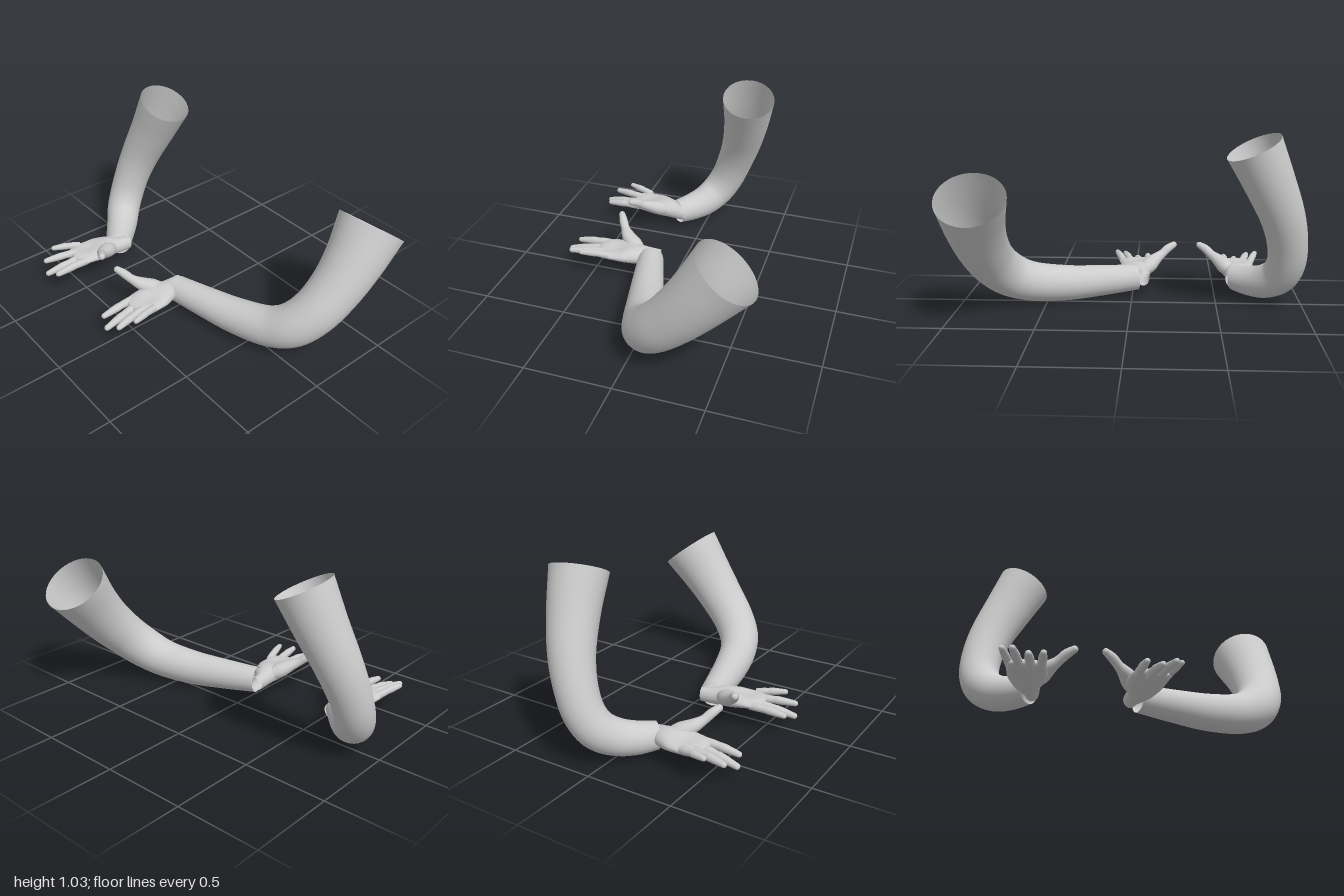
import * as THREE from 'three';

const material = new THREE.MeshStandardMaterial({ color: 0xcccccc, side: THREE.DoubleSide });

// Smooth tube through rows of [x, y, z, halfWidth, halfHeight]; round adds a domed end.
function loft(name, rows, { steps = 24, sides = 20, ref = [0, 1, 0], round = true } = {}) {
  const path = new THREE.CatmullRomCurve3(rows.map(r => new THREE.Vector3(r[0], r[1], r[2])));
  const size = new THREE.CatmullRomCurve3(rows.map((r, i) => new THREE.Vector3(r[3], r[4] ?? r[3], i * 0.05)));
  const pos = [], index = [];
  let rings = 0;
  const addRing = (c, t, w, h) => {
    const side = new THREE.Vector3(...ref).cross(t).normalize();
    const up = t.clone().cross(side);
    for (let j = 0; j < sides; j++) {
      const a = j / sides * Math.PI * 2;
      const p = c.clone().addScaledVector(side, Math.cos(a) * w).addScaledVector(up, Math.sin(a) * h);
      pos.push(p.x, p.y, p.z);
    }
    rings++;
  };
  for (let i = 0; i <= steps; i++) {
    const s = size.getPoint(i / steps);
    addRing(path.getPoint(i / steps), path.getTangent(i / steps), s.x, s.y);
  }
  if (round) {
    const c = path.getPoint(1), t = path.getTangent(1), s = size.getPoint(1);
    for (let k = 1; k <= 5; k++) {
      const a = k / 5 * Math.PI / 2, f = Math.max(Math.cos(a), 0.02);
      addRing(c.clone().addScaledVector(t, s.y * Math.sin(a)), t, s.x * f, s.y * f);
    }
  }
  for (let i = 0; i < rings - 1; i++) {
    for (let j = 0; j < sides; j++) {
      const k = (j + 1) % sides;
      const a = i * sides + j, b = i * sides + k, c = b + sides, d = a + sides;
      index.push(a, b, c, a, c, d);
    }
  }
  const g = new THREE.BufferGeometry();
  g.setAttribute('position', new THREE.Float32BufferAttribute(pos, 3));
  g.setIndex(index);
  g.computeVertexNormals();
  const mesh = new THREE.Mesh(g, material);
  mesh.name = name;
  return mesh;
}

// Open hand, palm up; mirrored across x = -0.335 for the other side.
function hand(name, mirrored) {
  const group = new THREE.Group();
  group.name = name;
  const flip = x => (mirrored ? -0.67 - x : x);
  const add = (part, rows, options) => {
    const mesh = loft(part, rows.map(([x, ...rest]) => [flip(x), ...rest]), options);
    group.add(mesh);
    return mesh;
  };

  // wrist and palm in one form
  const palm = add('palm', [
    [-0.07, 0.122, 0.10, 0.036, 0.042],
    [-0.058, 0.125, 0.17, 0.048, 0.048],
    [-0.038, 0.132, 0.23, 0.078, 0.054],
    [-0.03, 0.14, 0.30, 0.102, 0.05],
    [-0.022, 0.143, 0.37, 0.104, 0.041],
    [-0.016, 0.143, 0.43, 0.102, 0.031],
    [-0.013, 0.142, 0.46, 0.09, 0.023],
  ], { steps: 30, sides: 36 });

  // hollow of the palm
  const p = palm.geometry.attributes.position;
  for (let i = 0; i < p.count; i++) {
    const dx = (flip(p.getX(i)) + 0.01) / 0.06, dz = (p.getZ(i) - 0.36) / 0.07;
    if (p.getY(i) > 0.145) p.setY(i, p.getY(i) - 0.02 * Math.exp(-dx * dx - dz * dz));
  }
  palm.geometry.computeVertexNormals();

  // fingers: base, tip, radius
  const fingers = {
    indexFinger: [[-0.09, 0.14, 0.43], [-0.083, 0.128, 0.637], 0.024],
    middleFinger: [[-0.035, 0.134, 0.44], [-0.01, 0.105, 0.667], 0.025],
    ringFinger: [[0.02, 0.142, 0.43], [0.066, 0.142, 0.635], 0.024],
    littleFinger: [[0.065, 0.152, 0.39], [0.114, 0.174, 0.55], 0.022],
  };
  for (const [part, [a, b, r]] of Object.entries(fingers)) {
    const at = (t, lift, k) => [...a.map((v, i) => v + (b[i] - v) * t + (i === 1 ? lift : 0)), r * k];
    add(part, [at(0, 0, 1), at(0.25, 0.003, 1), at(0.42, 0.004, 0.92), at(0.56, 0.004, 0.97),
      at(0.8, 0.002, 0.83), at(1, 0, 0.68)], { sides: 16 });
  }

  // thumb with its fleshy base
  add('thumb', [
    [-0.065, 0.135, 0.22, 0.03],
    [-0.095, 0.155, 0.28, 0.05, 0.046],
    [-0.135, 0.182, 0.335, 0.042, 0.037],
    [-0.178, 0.208, 0.372, 0.027],
    [-0.215, 0.238, 0.398, 0.026],
    [-0.253, 0.258, 0.421, 0.02],
  ], { sides: 18 });
  return group;
}

export function createModel() {
  const model = new THREE.Group();
  model.name = 'arms';
  const sleeve = { steps: 48, sides: 40, ref: [0, 0.6, 0.8], round: false };

  // open sleeves, shoulder to wrist
  model.add(loft('leftSleeve', [
    [0.81, 0.725, -0.535, 0.191],
    [0.82, 0.56, -0.41, 0.164],
    [0.812, 0.42, -0.295, 0.146],
    [0.78, 0.295, -0.18, 0.135],
    [0.71, 0.2, -0.09, 0.128],
    [0.6, 0.143, -0.033, 0.117],
    [0.4, 0.114, 0.03, 0.106],
    [0.2, 0.113, 0.087, 0.093],
    [-0.03, 0.12, 0.15, 0.077],
  ], sleeve));
  model.add(loft('rightSleeve', [
    [-0.67, 0.973, -0.273, 0.158],
    [-0.76, 0.78, -0.245, 0.14],
    [-0.845, 0.58, -0.2, 0.124],
    [-0.885, 0.42, -0.15, 0.114],
    [-0.89, 0.29, -0.1, 0.11],
    [-0.86, 0.2, -0.045, 0.107],
    [-0.79, 0.144, 0.02, 0.1],
    [-0.71, 0.122, 0.093, 0.09],
    [-0.625, 0.12, 0.165, 0.077],
  ], sleeve));

  model.add(hand('leftHand', false), hand('rightHand', true));
  return model;
}
